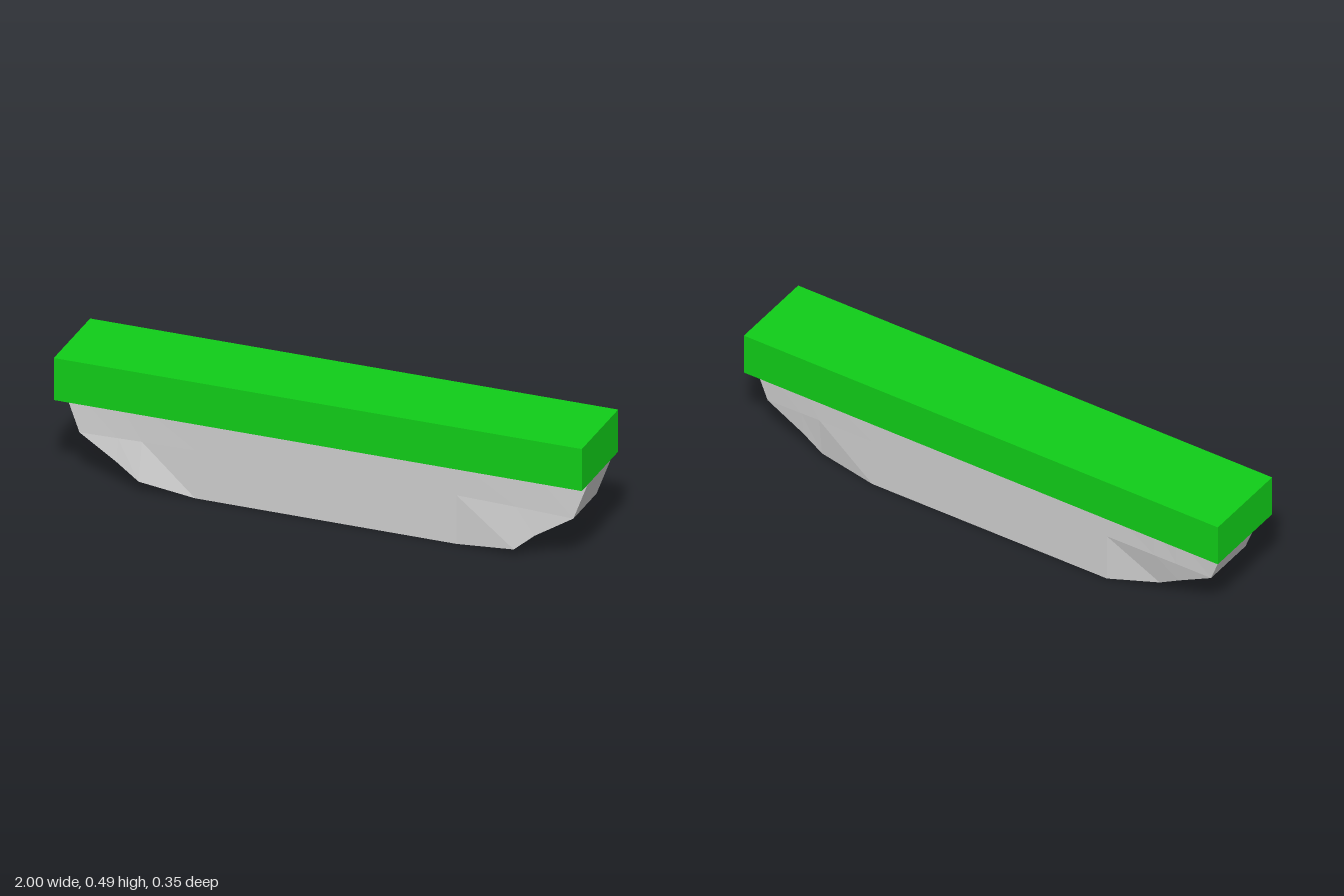
import * as THREE from 'three';

const DECK_BOTTOM = 0.323;
const DECK_TOP = 0.487;
const HALF_WIDTH = 0.11;

// Hull stations along x: [x, mid height, bottom height, mid z shift, bottom z shift]
const STATIONS = [
  [-0.98, DECK_BOTTOM, DECK_BOTTOM, 0, 0],
  [-0.925, 0.185, 0.185, 0.007, 0.007],
  [-0.78, 0.187, 0.103, 0.005, 0.022],
  [-0.69, 0.188, 0.047, 0.003, 0.035],
  [-0.49, 0.19, 0.002, 0, 0],
  [0.5, 0.19, 0, 0, 0],
  [0.725, 0.186, 0.027, 0.002, 0.02],
  [0.8, 0.184, 0.09, 0.003, 0.012],
  [0.945, 0.18, 0.18, 0.005, 0.005],
  [0.998, DECK_BOTTOM, DECK_BOTTOM, 0, 0],
];

// Cross-section: down the front side, under the bottom and up the back
function section([x, midY, bottomY, midZ, bottomZ]) {
  const rows = [[DECK_BOTTOM, 0], [midY, midZ], [bottomY, bottomZ]];
  const side = (s) => rows.map(([y, dz]) => new THREE.Vector3(x, y, s * HALF_WIDTH + dz));
  return [...side(1), ...side(-1).reverse()];
}

function hullGeometry() {
  const positions = [];
  const triangle = new THREE.Triangle();
  const addTriangle = (a, b, c) => {
    triangle.set(a, b, c);
    if (triangle.getArea() < 1e-7) return;
    for (const p of [a, b, c]) positions.push(p.x, p.y, p.z);
  };
  const loops = STATIONS.map(section);
  for (let i = 0; i < loops.length - 1; i++) {
    const p = loops[i];
    const q = loops[i + 1];
    for (let j = 0; j < p.length - 1; j++) {
      addTriangle(p[j], p[j + 1], q[j + 1]);
      addTriangle(p[j], q[j + 1], q[j]);
    }
  }
  const geometry = new THREE.BufferGeometry();
  geometry.setAttribute('position', new THREE.Float32BufferAttribute(positions, 3));
  geometry.computeVertexNormals();
  return geometry;
}

export function createModel() {
  const model = new THREE.Group();
  model.name = 'floatingPlatform';

  // Green slab on top
  const deck = new THREE.Mesh(
    new THREE.BoxGeometry(2, DECK_TOP - DECK_BOTTOM, 0.346),
    new THREE.MeshStandardMaterial({ color: 0x10cc18, flatShading: true })
  );
  deck.name = 'grassDeck';
  deck.position.y = (DECK_TOP + DECK_BOTTOM) / 2;
  model.add(deck);

  // Faceted grey underside with tapering ends
  const base = new THREE.Mesh(
    hullGeometry(),
    new THREE.MeshStandardMaterial({ color: 0xcccccc, flatShading: true, side: THREE.DoubleSide })
  );
  base.name = 'rockBase';
  model.add(base);

  return model;
}
